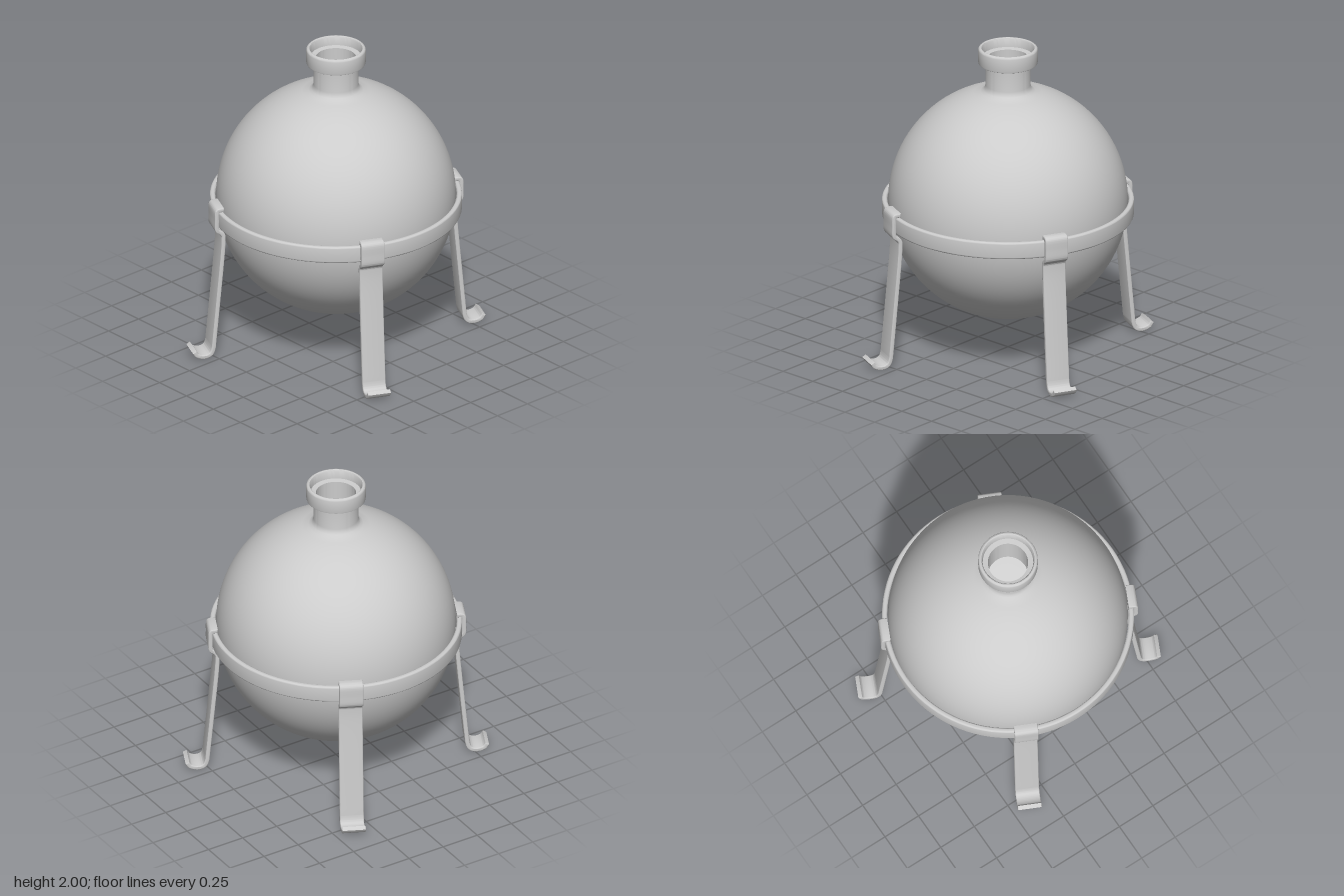
import * as THREE from 'three';
import { toCreasedNormals } from 'three/addons/utils/BufferGeometryUtils.js';

const V = (x, y) => new THREE.Vector2(x, y);
const material = new THREE.MeshStandardMaterial({ color: 0xcccccc });

function part(name, geometry, crease = 0.6) {
  const mesh = new THREE.Mesh(toCreasedNormals(geometry, crease), material);
  mesh.name = name;
  return mesh;
}

// Points of an arc around (0, cy); angles are measured from the horizontal
function arc(cy, r, from, to, n) {
  return Array.from({ length: n + 1 }, (_, i) => {
    const a = from + (to - from) * i / n;
    return V(Math.max(0, r * Math.cos(a)), cy + r * Math.sin(a));
  });
}

// Hollow round vessel with neck and rolled collar, as one turned profile
function vessel() {
  const cy = 0.985, r = 0.745, ri = 0.725;
  const profile = [
    ...arc(cy, r, -Math.PI / 2, Math.acos(0.17 / r), 48),
    V(0.153, 1.722), V(0.144, 1.735), V(0.14, 1.755),
    V(0.14, 1.895), V(0.178, 1.895), V(0.183, 1.898), V(0.185, 1.905),
    V(0.185, 1.985), V(0.183, 1.993), V(0.178, 1.998), V(0.17, 2),
    V(0.165, 1.998), V(0.16, 1.99), V(0.157, 1.94), V(0.125, 1.935),
    ...arc(cy, ri, Math.acos(0.125 / ri), -Math.PI / 2, 40),
  ];
  return part('vessel', new THREE.LatheGeometry(profile, 96));
}

// Flat hoop with rounded edges around the vessel
function hoop() {
  const r0 = 0.75, r1 = 0.783, y0 = 0.89, y1 = 1.0, c = 0.012;
  const profile = [];
  const corners = [[r1 - c, y0 + c, -90], [r1 - c, y1 - c, 0], [r0 + c, y1 - c, 90], [r0 + c, y0 + c, 180]];
  for (const [x, y, start] of corners) {
    for (let i = 0; i <= 4; i++) {
      const a = THREE.MathUtils.degToRad(start + i * 22.5);
      profile.push(V(x + c * Math.cos(a), y + c * Math.sin(a)));
    }
  }
  profile.push(profile[0].clone());
  return part('hoop', new THREE.LatheGeometry(profile, 96));
}

// Bent strip: hooked over the hoop, down the leg, curled up at the foot
function legGeometry() {
  const width = 0.15, half = 0.0135, bevel = 0.006;
  const path = new THREE.SplineCurve([
    V(0.748, 1.014), V(0.772, 1.014), V(0.788, 1.008), V(0.793, 0.99),
    V(0.793, 0.94), V(0.793, 0.892), V(0.787, 0.872), V(0.768, 0.858),
    V(0.753, 0.84), V(0.75, 0.81), V(0.756, 0.7), V(0.783, 0.4),
    V(0.809, 0.12), V(0.815, 0.065), V(0.828, 0.032), V(0.855, 0.0155),
    V(0.89, 0.0155), V(0.922, 0.03), V(0.938, 0.055),
  ]);
  const n = 110, sideA = [], sideB = [];
  for (let i = 0; i <= n; i++) {
    const p = path.getPoint(i / n), t = path.getTangent(i / n);
    sideA.push(V(p.x - t.y * half, p.y + t.x * half));
    sideB.unshift(V(p.x + t.y * half, p.y - t.x * half));
  }
  const geometry = new THREE.ExtrudeGeometry(new THREE.Shape([...sideA, ...sideB]), {
    depth: width - 2 * bevel, bevelEnabled: true, bevelThickness: bevel,
    bevelSize: bevel, bevelOffset: -bevel, bevelSegments: 3,
  });
  return geometry.translate(0, 0, bevel - width / 2);
}

export function createModel() {
  const model = new THREE.Group();
  model.name = 'vesselOnStand';
  model.add(vessel(), hoop());

  // Four legs, turned a little off the axes
  const geometry = legGeometry();
  for (let i = 0; i < 4; i++) {
    const leg = part('leg' + (i + 1), geometry, 0.7);
    leg.rotation.y = -THREE.MathUtils.degToRad(25.3 + i * 90);
    model.add(leg);
  }
  return model;
}
